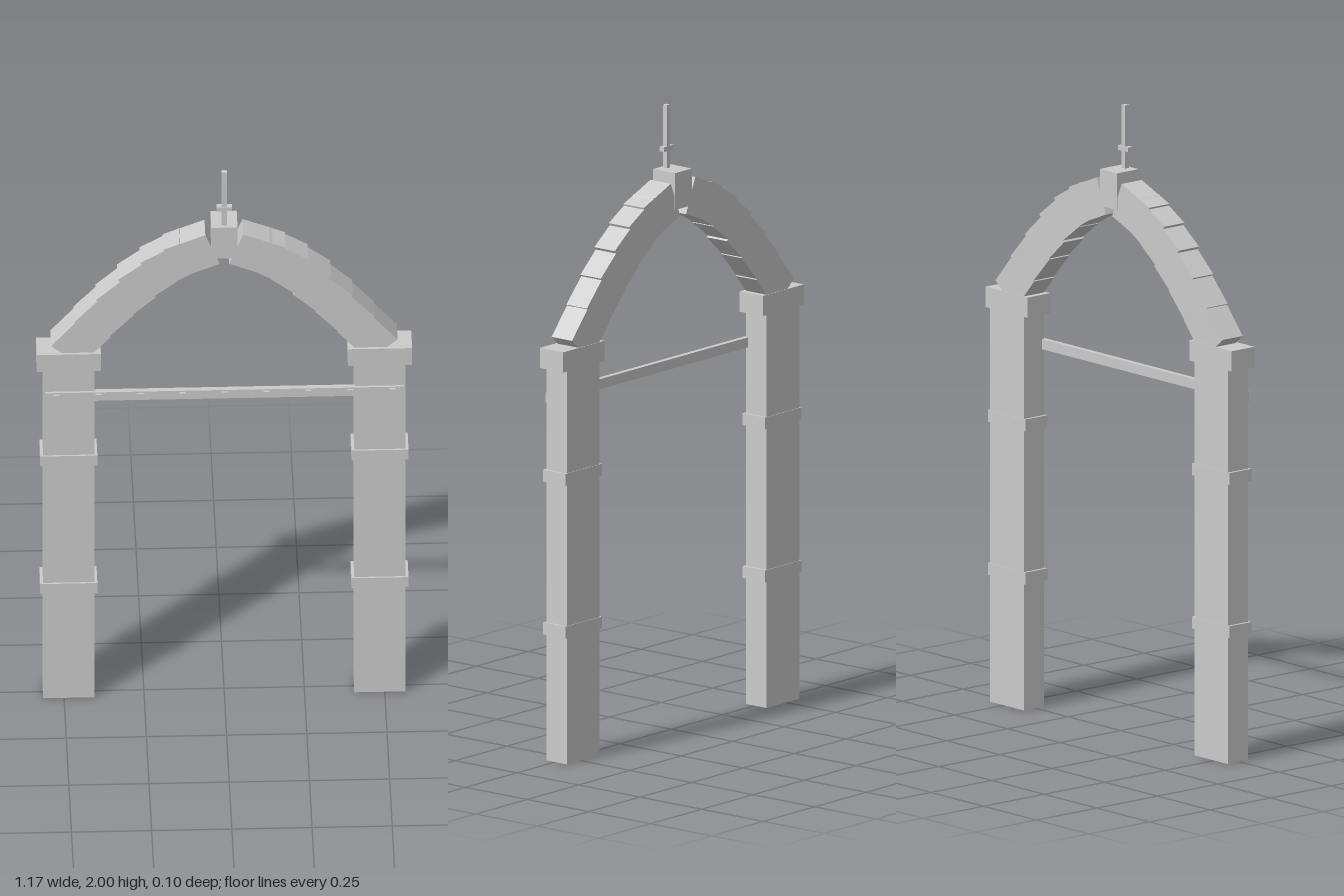
import * as THREE from 'three';

const material = new THREE.MeshStandardMaterial({ color: 0xcccccc, flatShading: true });

// Box given by its minimum and maximum on each axis.
function box(name, [x0, x1], [y0, y1], [z0, z1]) {
  const mesh = new THREE.Mesh(new THREE.BoxGeometry(x1 - x0, y1 - y0, z1 - z0), material);
  mesh.position.set((x0 + x1) / 2, (y0 + y1) / 2, (z0 + z1) / 2);
  mesh.name = name;
  return mesh;
}

// One pillar with its bands and capital; side is +1 (left) or -1 (right).
function pillar(side) {
  const group = new THREE.Group();
  group.name = side > 0 ? 'leftPillar' : 'rightPillar';
  const cx = side * 0.485;
  const span = (half) => [cx - half, cx + half];
  group.add(box('shaft', span(0.08), [0, 1.26], [-0.048, 0.035]));
  for (const y of [0.405, 0.895]) {
    group.add(box('band', span(0.089), [y, y + 0.038], [-0.05, 0.041]));
  }
  group.add(box('capital', span(0.1), [1.26, 1.325], [-0.05, 0.044]));
  return group;
}

// Half of the arch: overlapping tilted blocks, each placed by its lower outer corner.
function archHalf(side) {
  const group = new THREE.Group();
  group.name = side > 0 ? 'leftArch' : 'rightArch';
  const blocks = [ // distance from middle, height, tilt in degrees
    [0.54, 1.353, 49], [0.468, 1.443, 47], [0.4, 1.526, 42],
    [0.332, 1.602, 37], [0.262, 1.666, 30], [0.191, 1.714, 22],
  ];
  const length = 0.142, thickness = 0.12;
  for (const [x, y, degrees] of blocks) {
    const a = THREE.MathUtils.degToRad(degrees);
    const mesh = new THREE.Mesh(new THREE.BoxGeometry(length, thickness, 0.083), material);
    const c = Math.cos(a), s = Math.sin(a);
    mesh.position.set(
      side * (x - (c * length + s * thickness) / 2),
      y + (s * length - c * thickness) / 2,
      -0.0065,
    );
    mesh.rotation.z = -side * a;
    mesh.name = 'archBlock';
    group.add(mesh);
  }
  return group;
}

export function createModel() {
  const model = new THREE.Group();
  model.name = 'archway';
  for (const side of [1, -1]) model.add(pillar(side), archHalf(side));

  // Keystone at the crown
  model.add(box('keystone', [-0.041, 0.041], [1.68, 1.798], [-0.05, 0.039]));

  // Crossbar with a row of studs
  model.add(box('crossbar', [-0.56, 0.56], [1.145, 1.177], [0.026, 0.043]));
  for (let i = -4; i <= 4; i++) {
    const x = i * 0.131;
    model.add(box('stud', [x - 0.009, x + 0.009], [1.15, 1.172], [0.04, 0.05]));
  }

  // Finial
  model.add(box('finialPole', [-0.008, 0.008], [1.79, 2], [0.011, 0.027]));
  model.add(box('finialCrosspiece', [-0.024, 0.024], [1.853, 1.868], [0.01, 0.028]));
  return model;
}
